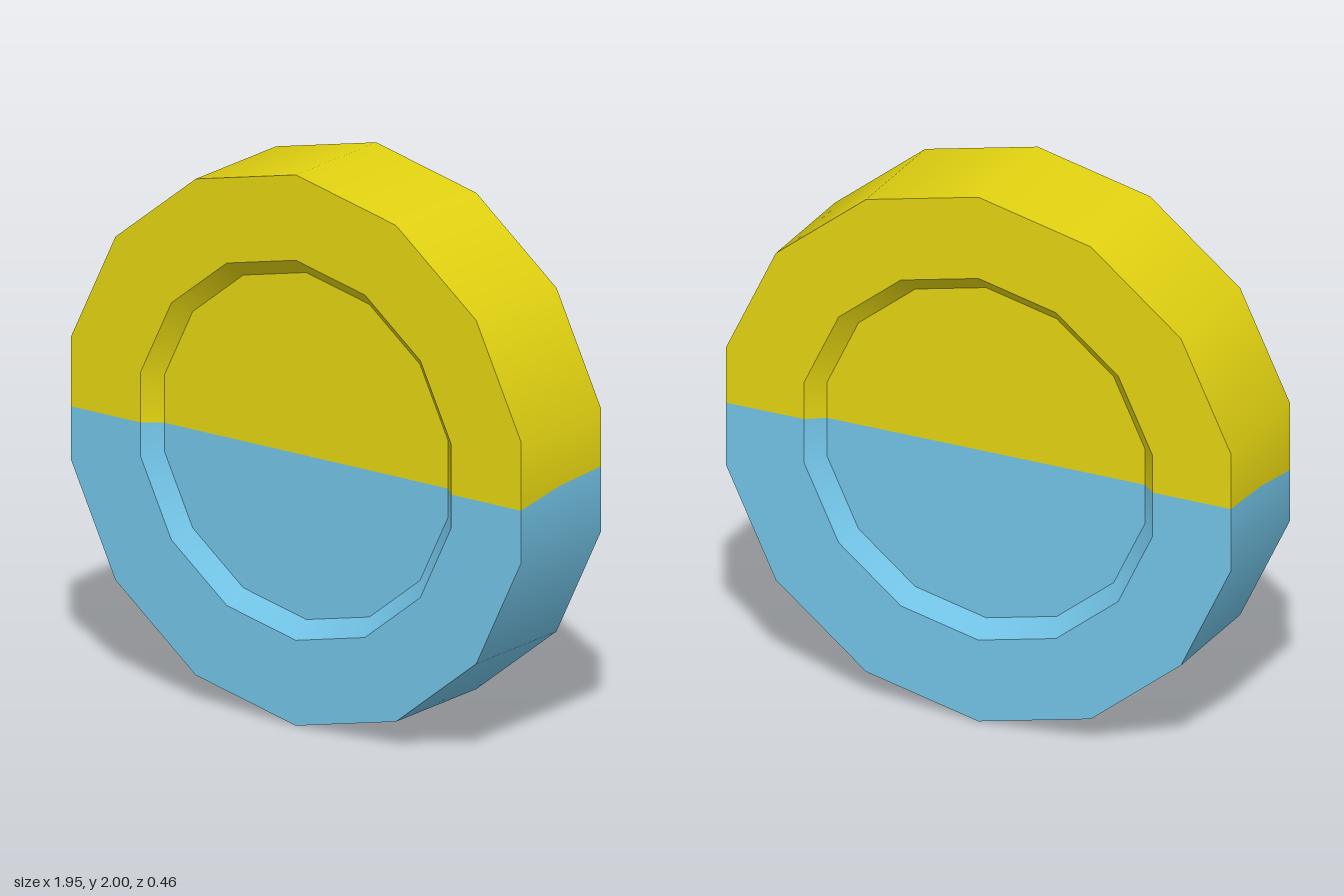
import * as THREE from 'three';

const SIDES = 14;
const STEP = (Math.PI * 2) / SIDES;

// Profile stations from the back centre, over the rim, to the front centre.
// seam = height at which the two colours meet.
const backCentre = { r: 0, z: -0.17, seam: 1.005 };
const backFloor = { r: 0.63, z: -0.17, seam: 1.005 };
const backLip = { r: 0.69, z: -0.23, seam: 1.013 };
const backEdge = { r: 1, z: -0.23, seam: 1.013 };
const middle = { r: 1, z: 0, seam: 1.004 };
const frontEdge = { r: 1, z: 0.23, seam: 0.97 };
const frontLip = { r: 0.69, z: 0.23, seam: 0.97 };
const frontFloor = { r: 0.63, z: 0.17, seam: 0.965 };
const frontCentre = { r: 0, z: 0.17, seam: 0.965 };

const PARTS = {
  backPanel: [backCentre, backFloor],
  backRecessBevel: [backFloor, backLip],
  backRim: [backLip, backEdge],
  outerWall: [backEdge, middle, frontEdge],
  frontRim: [frontEdge, frontLip],
  frontRecessBevel: [frontLip, frontFloor],
  frontPanel: [frontFloor, frontCentre],
};

// Half of a polygon ring, counter-clockwise; side is 1 for upper, -1 for lower
function halfRing({ r, seam }, side) {
  const flat = r * Math.cos(STEP / 2);
  const offset = r ? seam - 1 : 0;
  const points = [[side * flat, offset]];
  for (let k = 3; k >= -3; k--) {
    points.push([side * r * Math.sin(k * STEP), side * r * Math.cos(k * STEP)]);
  }
  points.push([-side * flat, offset]);
  // The centre station collapses onto the seam line
  return r ? points : points.map(() => [0, seam - 1]);
}

// Surface swept through the stations, smooth around and sharp between parts
function bandGeometry(stations, side) {
  const position = [], normal = [], index = [];
  for (let s = 0; s < stations.length - 1; s++) {
    const a = stations[s], b = stations[s + 1];
    const dr = b.r - a.r, dz = b.z - a.z, len = Math.hypot(dr, dz);
    const base = position.length / 3;
    const rings = [a, b].map((station) => halfRing(station, side));
    const count = rings[0].length;
    rings.forEach((ring, j) => ring.forEach(([x, y]) => {
      const d = Math.hypot(x, y) || 1;
      position.push(x, y + 1, [a, b][j].z);
      normal.push((x / d) * dz / len, (y / d) * dz / len, -dr / len);
    }));
    for (let i = 0; i < count - 1; i++) {
      const p = base + i, q = p + count;
      if (b.r) index.push(p, p + 1, q + 1, p, q + 1, q);
      else index.push(p, p + 1, q);
    }
  }
  const geometry = new THREE.BufferGeometry();
  geometry.setAttribute('position', new THREE.Float32BufferAttribute(position, 3));
  geometry.setAttribute('normal', new THREE.Float32BufferAttribute(normal, 3));
  geometry.setIndex(index);
  return geometry;
}

export function createModel() {
  const yellow = new THREE.MeshStandardMaterial({ color: 0xe3d311 });
  yellow.name = 'yellow';
  const blue = new THREE.MeshStandardMaterial({ color: 0x72c3e6 });
  blue.name = 'skyBlue';

  const model = new THREE.Group();
  model.name = 'twoToneDisc';
  for (const [name, side, material] of [['upperHalf', 1, yellow], ['lowerHalf', -1, blue]]) {
    const half = new THREE.Group();
    half.name = name;
    for (const [part, stations] of Object.entries(PARTS)) {
      const mesh = new THREE.Mesh(bandGeometry(stations, side), material);
      mesh.name = part;
      half.add(mesh);
    }
    model.add(half);
  }
  return model;
}
